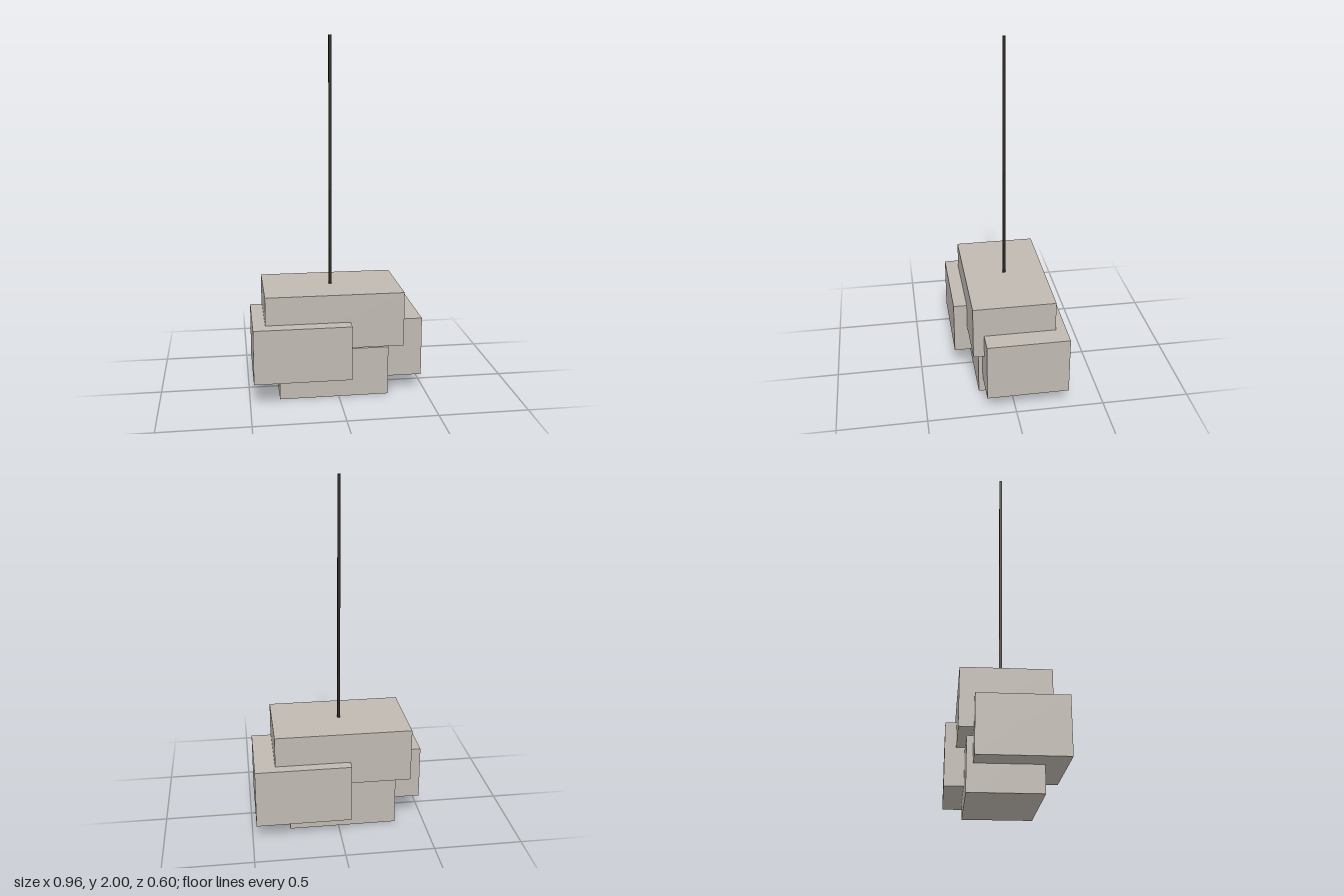
import * as THREE from 'three';

export function createModel() {
  const group = new THREE.Group();
  const shade = new THREE.MeshStandardMaterial({ color: 0xbfb9b1 });
  shade.name = 'warm grey shade';
  const dark = new THREE.MeshStandardMaterial({ color: 0x2c2721 });
  dark.name = 'dark bronze';

  // Box given by its min and max corners
  const addBox = (name, material, [x0, y0, z0], [x1, y1, z1]) => {
    const mesh = new THREE.Mesh(new THREE.BoxGeometry(x1 - x0, y1 - y0, z1 - z0), material);
    mesh.position.set((x0 + x1) / 2, (y0 + y1) / 2, (z0 + z1) / 2);
    mesh.name = name;
    group.add(mesh);
  };

  // Interlocking lamp shade blocks
  addBox('upperShade', shade, [-0.41, 0.3, -0.242], [0.362, 0.608, 0.223]);
  addBox('frontShade', shade, [-0.48, 0.143, -0.165], [0.06, 0.45, 0.3]);
  addBox('backShade', shade, [-0.062, 0.097, -0.302], [0.478, 0.434, 0.162]);
  addBox('lowerShade', shade, [-0.332, 0, -0.198], [0.282, 0.281, 0.186]);

  // Square suspension rod
  addBox('rod', dark, [-0.032, 0.608, -0.017], [-0.017, 2, -0.002]);

  return group;
}
